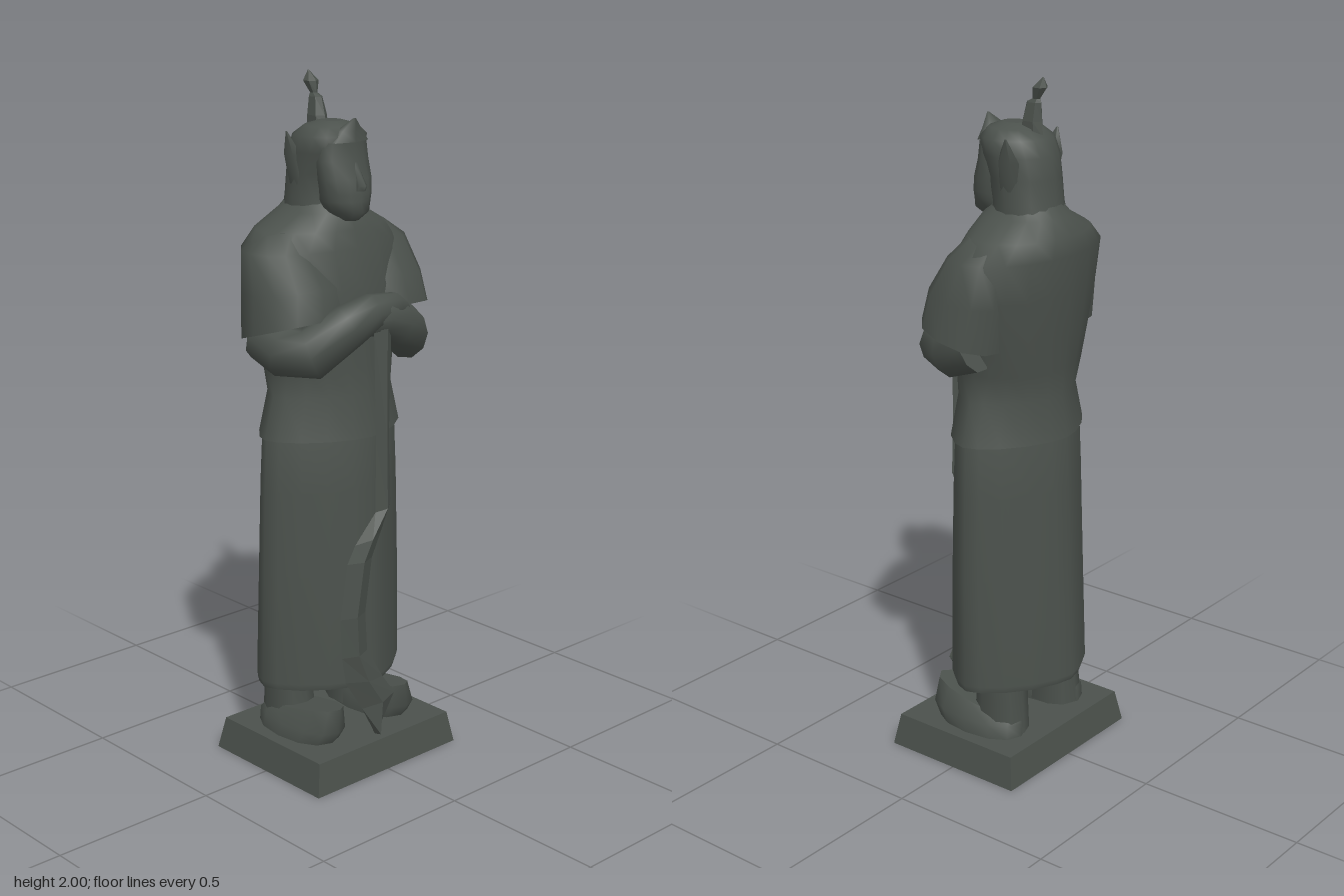
import * as THREE from 'three';

const stone = new THREE.MeshStandardMaterial({ color: 0x4b514c, side: THREE.DoubleSide });
stone.name = 'dark stone';
const V = (x, y, z) => new THREE.Vector3(x, y, z);
const pw = (v, e) => Math.sign(v) * Math.pow(Math.abs(v), e);

// Skin a stack of closed rings, with optional flat caps
function loft(rings, { flat = false, capStart = true } = {}) {
  const n = rings[0].length, pos = [], idx = [];
  rings.forEach(r => r.forEach(p => pos.push(p.x, p.y, p.z)));
  for (let i = 0; i < rings.length - 1; i++) for (let j = 0; j < n; j++) {
    const a = i * n + j, b = i * n + (j + 1) % n;
    idx.push(a, b, a + n, b, b + n, a + n);
  }
  const cap = (ring, up) => {
    const start = pos.length / 3, c = V(0, 0, 0);
    ring.forEach(p => { pos.push(p.x, p.y, p.z); c.addScaledVector(p, 1 / n); });
    pos.push(c.x, c.y, c.z);
    for (let j = 0; j < n; j++) {
      const a = start + j, b = start + (j + 1) % n;
      up ? idx.push(a, b, start + n) : idx.push(b, a, start + n);
    }
  };
  if (capStart) cap(rings[0], false);
  cap(rings[rings.length - 1], true);
  let g = new THREE.BufferGeometry();
  g.setAttribute('position', new THREE.Float32BufferAttribute(pos, 3));
  g.setIndex(idx);
  if (flat) g = g.toNonIndexed();
  g.computeVertexNormals();
  return g;
}

// Level ring from height, half width, front z, back z and centre x; tilt raises its front.
// e below 1 is boxier than an ellipse, above 1 nearer a diamond.
function ring([y, hw, zf, zb, cx = 0, tilt = 0], n, e) {
  return Array.from({ length: n }, (_, j) => {
    const t = j / n * Math.PI * 2, c = pw(Math.cos(t), e);
    return V(cx + hw * pw(Math.sin(t), e), y + tilt * c, (zf + zb) / 2 + (zf - zb) / 2 * c);
  });
}
const stack = (rows, n, e = 0.9, opt = {}) => loft(rows.map(r => ring(r, n, e)), opt);

// Limb along points [x, y, z, side radius, upright radius]
function limb(pts, n = 10) {
  const P = pts.map(p => V(p[0], p[1], p[2]));
  return loft(P.map((p, i) => {
    const T = P[Math.min(i + 1, P.length - 1)].clone().sub(P[Math.max(i - 1, 0)]).normalize();
    const v = V(0, 1, 0).cross(T).normalize(), u = T.clone().cross(v);
    return Array.from({ length: n }, (_, j) => {
      const t = j / n * Math.PI * 2;
      return p.clone().addScaledVector(v, pts[i][3] * Math.cos(t))
        .addScaledVector(u, pts[i][4] * Math.sin(t));
    });
  }));
}

export function createModel() {
  const model = new THREE.Group();
  model.name = 'robedStatue';
  const add = (name, geo) => {
    const m = new THREE.Mesh(geo, stone);
    m.name = name;
    model.add(m);
  };

  // Hollow plinth, open underneath
  const rect = (x, y, zf, zb) => [V(-x, y, zf), V(x, y, zf), V(x, y, zb), V(-x, y, zb)];
  add('plinth', loft([rect(0.275, 0, 0.23, -0.22), rect(0.257, 0.095, 0.215, -0.203)],
    { flat: true, capStart: false }));

  // Long robe, narrowing towards its four diagonals
  add('robe', stack([
    [0.25, 0.25, 0.16, -0.225], [0.27, 0.255, 0.167, -0.232], [0.6, 0.249, 0.16, -0.218],
    [0.85, 0.243, 0.152, -0.208], [1.0, 0.236, 0.145, -0.2], [1.12, 0.2, 0.12, -0.18],
  ], 20, 1.32));

  // Upper garment from hip hem to collar
  add('jacket', loft([
    [1.0, 0.245, 0.152, -0.201], [1.12, 0.212, 0.135, -0.184], [1.2, 0.205, 0.125, -0.188],
    [1.3, 0.23, 0.125, -0.2], [1.42, 0.255, 0.122, -0.212], [1.53, 0.264, 0.095, -0.218],
    [1.58, 0.205, 0.08, -0.212], [1.625, 0.12, 0.065, -0.182], [1.66, 0.085, 0.03, -0.155],
  ].map(r => ring(r, 20, r[0] < 1.15 ? 1.25 : 1))));

  for (const s of [1, -1]) {
    const side = s > 0 ? 'left' : 'right';

    // Wide short sleeve with slanted hem
    add(side + 'Sleeve', stack([
      [1.315, 0.145, 0.132, -0.12, s * 0.163, 0.038], [1.42, 0.14, 0.118, -0.14, s * 0.152, 0.015],
      [1.53, 0.115, 0.055, -0.145, s * 0.157], [1.58, 0.06, 0.02, -0.13, s * 0.14],
    ], 12, 0.85));

    // Forearm folded towards the middle
    const lift = s < 0 ? 0.02 : 0;
    add(side + 'Forearm', limb([
      [s * 0.225, 1.3, -0.05, 0.06, 0.08], [s * 0.22, 1.265, 0.03, 0.066, 0.075],
      [s * 0.18, 1.262, 0.1, 0.064, 0.074], [s * 0.09, 1.315 + lift, 0.152, 0.054, 0.064],
      [s * 0.02, 1.345 + lift, 0.17, 0.046, 0.054], [s * -0.07, 1.345 + lift, 0.162, 0.036, 0.042],
      [s * -0.13, 1.345, 0.145, 0.018, 0.025],
    ]));

    // Wedge shoe with a raised toe, and ankle
    add(side + 'Shoe', stack([
      [0.09, 0.082, 0.135, -0.15, s * 0.14], [0.135, 0.08, 0.165, -0.15, s * 0.138],
      [0.178, 0.055, 0.163, -0.14, s * 0.13, 0.028],
    ], 12, 0.9));
    add(side + 'Ankle', stack([
      [0.1, 0.068, 0.02, -0.15, s * 0.125], [0.2, 0.065, 0.01, -0.145, s * 0.125],
      [0.32, 0.07, 0.01, -0.14, s * 0.125],
    ], 10));

    // Pointed flap beside the cap
    add(side + 'CapFlap', stack([
      [1.7, 0.012, -0.03, -0.09, s * 0.09], [1.78, 0.018, -0.03, -0.105, s * 0.096],
      [1.845, 0.001, -0.07, -0.076, s * 0.114],
    ], 6, 1));
  }

  // Head covering and rounded cap
  add('headCloth', stack([
    [1.6, 0.106, 0.045, -0.175], [1.66, 0.104, 0.03, -0.157], [1.73, 0.102, 0.045, -0.152],
    [1.79, 0.107, 0.07, -0.143], [1.835, 0.106, 0.076, -0.122], [1.86, 0.075, 0.055, -0.09],
    [1.872, 0.03, 0.02, -0.05],
  ], 16, 1));

  // Face, nose and brow crest
  add('face', stack([
    [1.605, 0.035, 0.085, -0.03], [1.63, 0.062, 0.112, -0.03], [1.66, 0.075, 0.106, -0.03],
    [1.68, 0.078, 0.108, -0.03], [1.72, 0.084, 0.1, -0.03], [1.77, 0.086, 0.082, -0.03],
    [1.82, 0.08, 0.078, -0.03],
  ], 14, 1));
  add('nose', stack([
    [1.69, 0.018, 0.116, 0.08], [1.705, 0.016, 0.122, 0.08], [1.765, 0.007, 0.088, 0.06],
  ], 6, 1));
  add('browCrest', stack([
    [1.82, 0.07, 0.083, 0.02], [1.85, 0.042, 0.082, 0.03], [1.885, 0.003, 0.082, 0.074],
  ], 6, 1));

  // Topknot ornament with a diamond tip
  add('topknot', stack([
    [1.835, 0.024, -0.032, -0.112], [1.88, 0.024, -0.042, -0.107], [1.93, 0.015, -0.056, -0.105],
    [1.94, 0.009, -0.076, -0.1], [1.972, 0.021, -0.078, -0.122], [2.0, 0.001, -0.109, -0.112],
  ], 6, 0.9, { flat: true }));

  // Ridged staff that bends and widens into a blade: left x, left y, right x, right y
  const blade = [
    [-0.018, 0.105, -0.008, 0.11], [-0.07, 0.2, 0.058, 0.215], [-0.135, 0.3, 0.01, 0.28],
    [-0.15, 0.38, -0.052, 0.38], [-0.157, 0.5, -0.06, 0.5], [-0.13, 0.66, -0.035, 0.66],
    [-0.1, 0.71, 0.0, 0.73], [-0.022, 0.79, 0.036, 0.81], [-0.022, 1.0, 0.028, 1.0],
    [-0.032, 1.32, 0.034, 1.32],
  ];
  add('staff', loft(blade.map(([xl, yl, xr, yr]) => {
    const x = (xl + xr) / 2, y = (yl + yr) / 2;
    return [V(x, y, 0.212), V(xr, yr, 0.192), V(x, y, 0.178), V(xl, yl, 0.192)];
  }), { flat: true }));

  return model;
}
